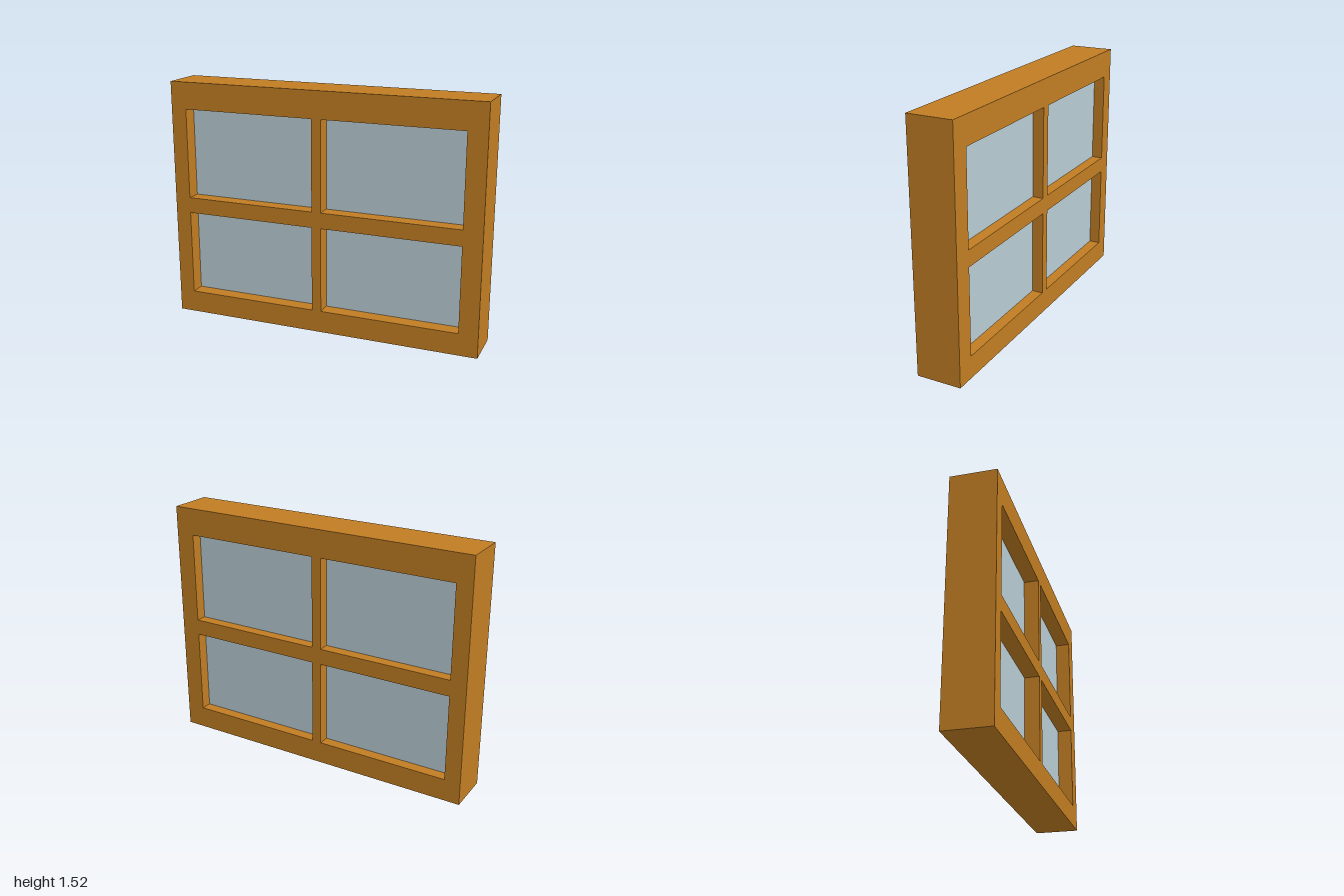
import * as THREE from 'three';

const HEIGHT = 1.52, DEPTH = 0.28;
const GLASS_FRONT = 0.047, GLASS_BACK = -0.07;

// Edges of the openings: two columns and two rows
const COLUMNS = [[-0.9, -0.055], [0.005, 0.88]];
const ROWS = [[0.14, 0.68], [0.78, 1.35]];

function rectangle(path, x0, x1, y0, y1) {
  path.moveTo(x0, y0);
  path.lineTo(x1, y0);
  path.lineTo(x1, y1);
  path.lineTo(x0, y1);
  path.closePath();
  return path;
}

export function createModel() {
  const wood = new THREE.MeshStandardMaterial({ name: 'wood', color: 0xc07d23 });
  const glass = new THREE.MeshStandardMaterial({ name: 'glass', color: 0xb8cbd3 });

  const model = new THREE.Group();
  model.name = 'window';

  // Frame and glazing bars, one board with four openings
  const outline = rectangle(new THREE.Shape(), -1, 1, 0, HEIGHT);
  const panes = new THREE.Group();
  panes.name = 'panes';

  for (const [x0, x1] of COLUMNS) {
    for (const [y0, y1] of ROWS) {
      outline.holes.push(rectangle(new THREE.Path(), x0, x1, y0, y1));

      // Glass pane recessed in its opening
      const pane = new THREE.Mesh(
        new THREE.BoxGeometry(x1 - x0, y1 - y0, GLASS_FRONT - GLASS_BACK), glass);
      pane.position.set((x0 + x1) / 2, (y0 + y1) / 2, (GLASS_FRONT + GLASS_BACK) / 2);
      pane.name = 'pane';
      panes.add(pane);
    }
  }

  const frameGeometry = new THREE.ExtrudeGeometry(outline, { depth: DEPTH, bevelEnabled: false });
  frameGeometry.translate(0, 0, -DEPTH / 2);
  const frame = new THREE.Mesh(frameGeometry, wood);
  frame.name = 'frame';

  model.add(frame, panes);
  return model;
}
